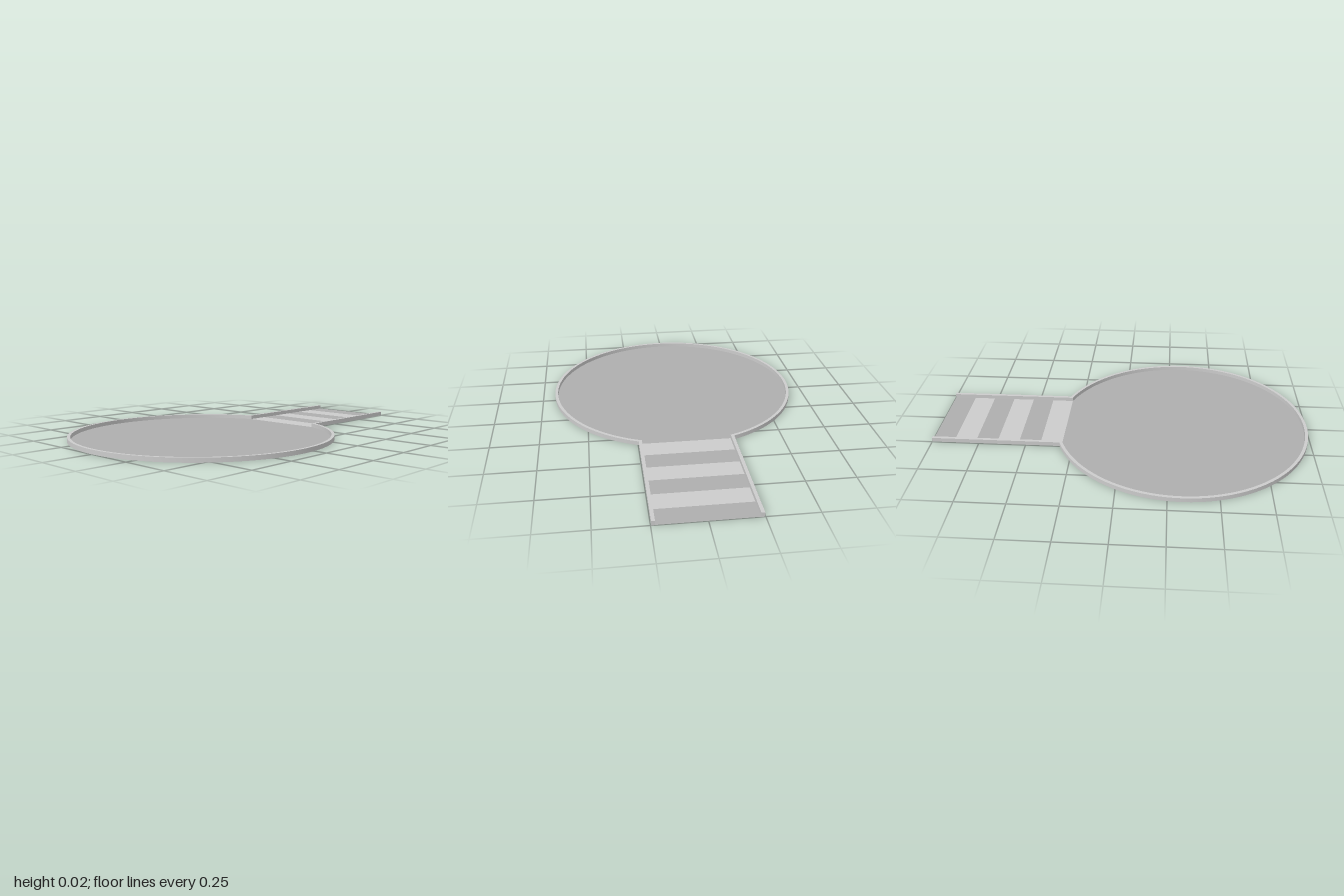
import * as THREE from 'three';

const HEIGHT = 0.022, FLOOR = 0.001;
const CENTRE_Z = 0.317, R_OUT = 0.683, R_IN = 0.667;
const X_OUT = 0.247, X_IN = 0.23, BACK = -1;

const pale = new THREE.MeshStandardMaterial({ color: 0xcccccc, side: THREE.DoubleSide });
const dark = new THREE.MeshStandardMaterial({ color: 0xaeaeae, side: THREE.DoubleSide });

function add(parent, name, geometry, material) {
  const mesh = new THREE.Mesh(geometry, material);
  mesh.name = name;
  parent.add(mesh);
  return mesh;
}

// Ribbon of quads between two rails of equal length
function ribbon(a, b) {
  const positions = [], index = [];
  a.forEach((p, i) => {
    positions.push(...p, ...b[i]);
    if (i > 0) {
      const k = 2 * i;
      index.push(k - 2, k, k - 1, k, k + 1, k - 1);
    }
  });
  const g = new THREE.BufferGeometry();
  g.setAttribute('position', new THREE.Float32BufferAttribute(positions, 3));
  g.setIndex(index);
  g.computeVertexNormals();
  return g;
}

// Kerb with outer wall, top and inner wall, open underneath
function kerb(name, outer, inner) {
  const group = new THREE.Group();
  group.name = name;
  const at = (rail, y) => rail.map(([x, z]) => [x, y, z]);
  add(group, 'outerWall', ribbon(at(outer, HEIGHT), at(outer, 0)), pale);
  add(group, 'kerbTop', ribbon(at(inner, HEIGHT), at(outer, HEIGHT)), pale);
  add(group, 'innerWall', ribbon(at(inner, 0), at(inner, HEIGHT)), pale);
  return group;
}

// Points round the circle, from the left side of the opening to the right
function arc(radius, halfGap, steps = 96) {
  const gap = Math.asin(halfGap / radius);
  return Array.from({ length: steps + 1 }, (_, i) => {
    const t = gap + (i / steps) * (2 * Math.PI - 2 * gap);
    return [radius * Math.sin(t), CENTRE_Z - radius * Math.cos(t)];
  });
}

export function createModel() {
  const model = new THREE.Group();
  model.name = 'turningCircle';

  const outer = arc(R_OUT, X_OUT), inner = arc(R_IN, X_IN);
  const joinOut = outer[0][1], joinIn = inner[0][1];

  // Round pavement, cut straight where the road meets it
  const disc = new THREE.Shape(inner.map(([x, z]) => new THREE.Vector2(x, -z)));
  add(model, 'circleFloor', new THREE.ShapeGeometry(disc).rotateX(-Math.PI / 2), dark).position.y = FLOOR;

  // Road of alternating light and dark bands
  const bands = 6, depth = (joinIn - BACK) / bands;
  for (let i = 0; i < bands; i++) {
    const band = new THREE.PlaneGeometry(2 * X_IN, depth).rotateX(-Math.PI / 2);
    const mesh = add(model, i % 2 ? 'roadBand' : 'crossingStripe', band, i % 2 ? dark : pale);
    mesh.position.set(0, FLOOR, joinIn - (i + 0.5) * depth);
  }

  // Kerbs round the circle and along both road edges
  model.add(kerb('circleKerb', outer, inner));
  for (const [side, name] of [[1, 'leftKerb'], [-1, 'rightKerb']]) {
    const straight = kerb(name,
      [[side * X_OUT, BACK], [side * X_OUT, joinOut]],
      [[side * X_IN, BACK], [side * X_IN, joinIn]]);
    const end = new THREE.PlaneGeometry(X_OUT - X_IN, HEIGHT).rotateY(Math.PI);
    add(straight, 'kerbEnd', end, pale).position.set(side * (X_OUT + X_IN) / 2, HEIGHT / 2, BACK);
    model.add(straight);
  }
  return model;
}
